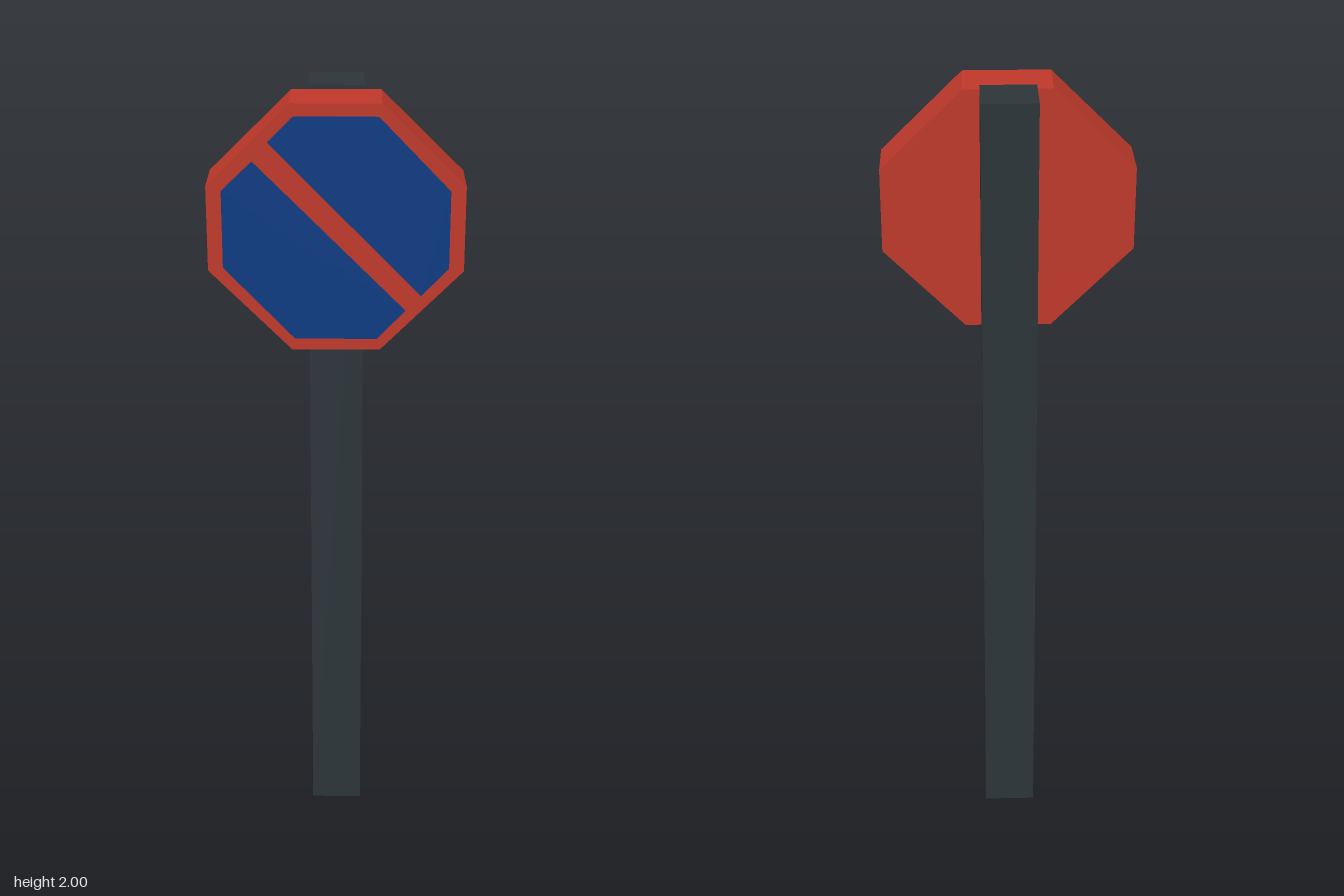
import * as THREE from 'three';

const material = (name, color) => {
  const m = new THREE.MeshStandardMaterial({ color });
  m.name = name;
  return m;
};

export function createModel() {
  const group = new THREE.Group();
  group.name = 'roadSign';
  const postGrey = material('postGrey', 0x2d353a);
  const signRed = material('signRed', 0xc0392b);
  const panelBlue = material('panelBlue', 0x0c3b83);

  const BACK = -0.136, JOIN = -0.004, FRONT = 0.135;

  // Extrudes an outline of [x, y] points from z0 to z1
  const slab = (name, points, z0, z1, mat) => {
    const shape = new THREE.Shape(points.map(([x, y]) => new THREE.Vector2(x, y)));
    const geometry = new THREE.ExtrudeGeometry(shape, { depth: z1 - z0, bevelEnabled: false });
    const mesh = new THREE.Mesh(geometry, mat);
    mesh.name = name;
    mesh.position.z = z0;
    group.add(mesh);
  };

  // Square post standing behind the sign
  const post = new THREE.Mesh(new THREE.BoxGeometry(0.131, 2, JOIN - BACK), postGrey);
  post.name = 'post';
  post.position.set(0, 1, (BACK + JOIN) / 2);
  group.add(post);

  // Thick octagonal board
  slab('signBoard', [
    [0.104, 1.4], [0.299, 1.597], [0.299, 1.799], [0.104, 1.99],
    [-0.104, 1.99], [-0.299, 1.799], [-0.299, 1.597], [-0.104, 1.4],
  ], JOIN, FRONT, signRed);

  // Two blue panels, leaving the red rim and diagonal band uncovered
  slab('upperPanel', [
    [0.2, 1.535], [0.264, 1.604], [0.264, 1.788], [0.097, 1.96],
    [-0.097, 1.96], [-0.156, 1.901],
  ], FRONT, FRONT + 0.001, panelBlue);
  slab('lowerPanel', [
    [0.164, 1.499], [-0.192, 1.857], [-0.264, 1.788], [-0.264, 1.604],
    [-0.097, 1.428], [0.097, 1.428],
  ], FRONT, FRONT + 0.001, panelBlue);

  return group;
}
